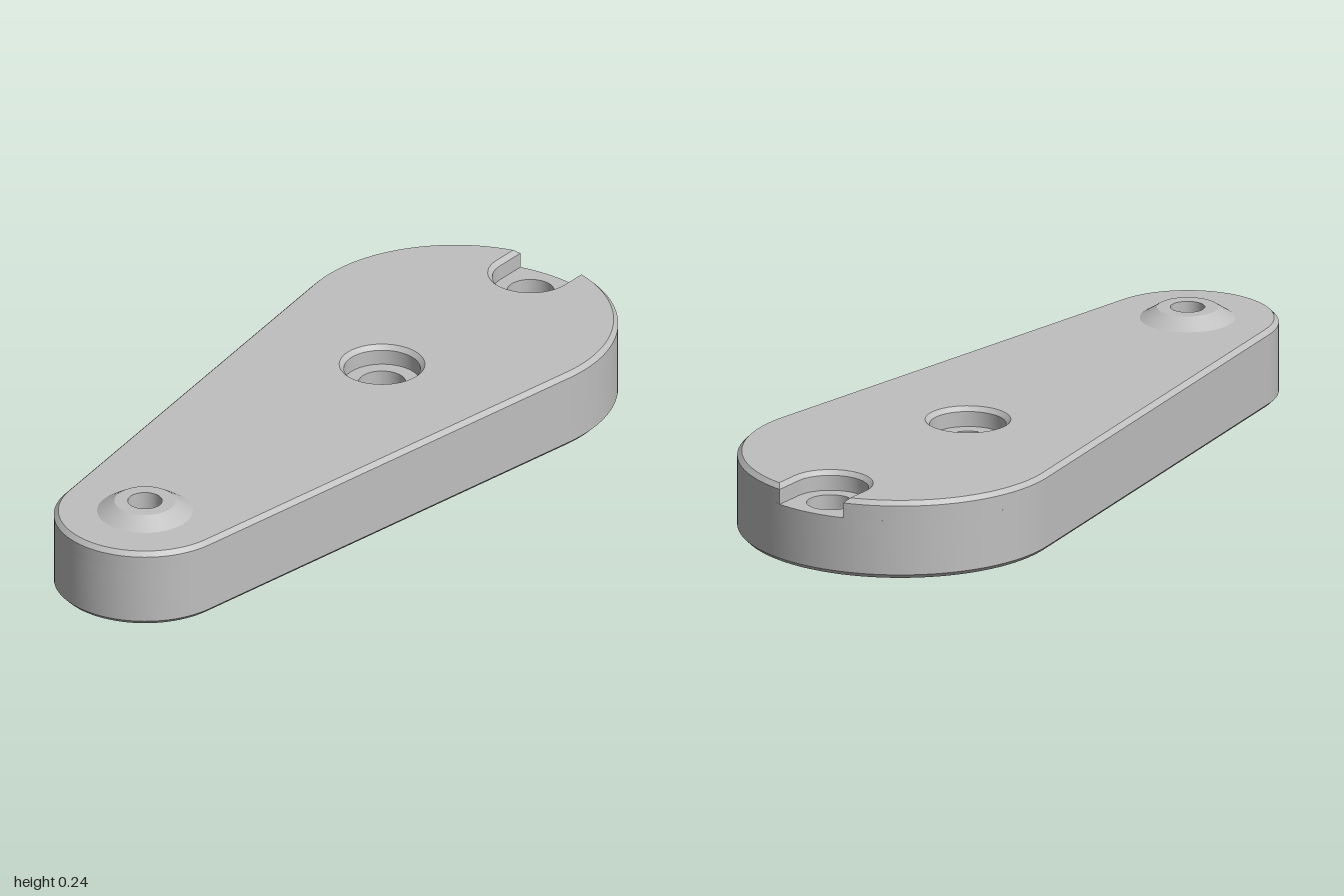
import * as THREE from 'three';
import { mergeGeometries } from 'three/addons/utils/BufferGeometryUtils.js';

const BACK = { z: -0.574, r: 0.426 }, FRONT = { z: 0.762, r: 0.238 };
const TOP = 0.213, FLOOR = 0.16, BEVEL = 0.012;
const SLOT_Z = -0.9, SLOT_W = 0.1, BORE_Z = -0.26, BOSS_Z = 0.762;
const BOLT_R = 0.062;

const v = (x, z) => new THREE.Vector2(x, z);

// Arc around (0, z); angle 0 points to the back, growing towards +x
function arc(z, r, from, to, n) {
  return Array.from({ length: n + 1 }, (_, i) => {
    const a = from + (to - from) * i / n;
    return v(r * Math.sin(a), z - r * Math.cos(a));
  });
}
const ring = (z, r) => arc(z, r, 0, Math.PI * 2, 48).slice(0, -1);

// Tapered outline of two arcs, left open at the back by a slot of half width w
function outline(inset, w = 0) {
  const R = BACK.r - inset, r = FRONT.r - inset;
  const t = Math.PI / 2 + Math.asin((R - r) / (FRONT.z - BACK.z));
  const a0 = Math.asin(w / R), full = Math.PI * 2;
  const pts = [
    ...arc(BACK.z, R, a0, t, 32),
    ...arc(FRONT.z, r, t, full - t, 40),
    ...arc(BACK.z, R, full - t, full - a0, 32),
  ];
  return w ? pts : pts.slice(0, -1);
}

// U-shaped edge of the slot, ending on the back arc
function slotEdge(inset, w) {
  const R = BACK.r - inset, z = BACK.z - Math.sqrt(R * R - w * w);
  return [v(-w, z), ...arc(SLOT_Z, w, Math.PI * 1.5, Math.PI / 2, 24), v(w, z)];
}

// Smooth band joining two matching loops at two heights
function band(a, ya, b, yb, closed) {
  const n = a.length, pos = [], index = [];
  a.forEach(p => pos.push(p.x, ya, p.y));
  b.forEach(p => pos.push(p.x, yb, p.y));
  for (let i = 0; i < (closed ? n : n - 1); i++) {
    const j = (i + 1) % n;
    index.push(i, n + i, n + j, i, n + j, j);
  }
  const g = new THREE.BufferGeometry();
  g.setAttribute('position', new THREE.Float32BufferAttribute(pos, 3));
  g.setIndex(index);
  g.computeVertexNormals();
  return g;
}

// Flat face with round holes, given as [z, radius]
function face(points, holes, y, down = false) {
  const s = down ? 1 : -1;
  const flip = pts => pts.map(p => v(p.x, s * p.y));
  const shape = new THREE.Shape(flip(points));
  holes.forEach(([z, r]) => shape.holes.push(new THREE.Path(flip(ring(z, r)))));
  const g = new THREE.ShapeGeometry(shape);
  g.deleteAttribute('uv');
  return g.rotateX(s * Math.PI / 2).translate(0, y, 0);
}

// Turned surface following [radius, y] points, with a sharp edge at each one
function turned(z, profile) {
  return profile.slice(1).map(([r, y], i) =>
    band(ring(z, profile[i][0]), profile[i][1], ring(z, r), y, true));
}

export function createModel() {
  const group = new THREE.Group();
  const grey = new THREE.MeshStandardMaterial({ color: 0xbfbfbf });
  grey.name = 'grey';
  const add = (name, parts) => {
    const mesh = new THREE.Mesh(mergeGeometries(parts), grey);
    mesh.name = name;
    group.add(mesh);
  };
  const wide = SLOT_W + BEVEL, shoulder = TOP - BEVEL;

  // Outer walls with bevelled rims
  add('plateSides', [
    band(outline(BEVEL), 0, outline(0), BEVEL, true),
    band(outline(0), BEVEL, outline(0), FLOOR, true),
    band(outline(0, SLOT_W), FLOOR, outline(0, SLOT_W), shoulder),
    band(outline(0, SLOT_W), shoulder, outline(BEVEL, wide), TOP),
  ]);
  add('plateTop', [face(
    [...outline(BEVEL, wide), ...slotEdge(BEVEL, wide).slice(1, -1)],
    [[BORE_Z, wide], [BOSS_Z, 0.125]], TOP)]);
  add('plateBottom', [face(outline(BEVEL),
    [[SLOT_Z, BOLT_R], [BORE_Z, BOLT_R], [BOSS_Z, 0.055]], 0, true)]);

  // Open slot at the back edge, with its through hole
  const a0 = Math.asin(SLOT_W / BACK.r);
  add('backSlot', [
    band(slotEdge(0, SLOT_W), FLOOR, slotEdge(0, SLOT_W), shoulder),
    band(slotEdge(0, SLOT_W), shoulder, slotEdge(BEVEL, wide), TOP),
    face([...slotEdge(0, SLOT_W), ...arc(BACK.z, BACK.r, a0, -a0, 12).slice(1, -1)],
      [[SLOT_Z, BOLT_R]], FLOOR),
    ...turned(SLOT_Z, [[BOLT_R, FLOOR], [BOLT_R, 0]]),
  ]);

  // Counterbored hole in the middle
  add('middleBore', turned(BORE_Z, [
    [wide, TOP], [SLOT_W, shoulder], [SLOT_W, FLOOR], [BOLT_R, FLOOR], [BOLT_R, 0],
  ]));

  // Raised conical boss with a narrow hole, stepped at the bottom
  add('frontBoss', turned(BOSS_Z, [
    [0.125, TOP], [0.08, 0.242], [0.045, 0.242], [0.045, 0.02], [0.055, 0.02], [0.055, 0],
  ]));

  return group;
}
